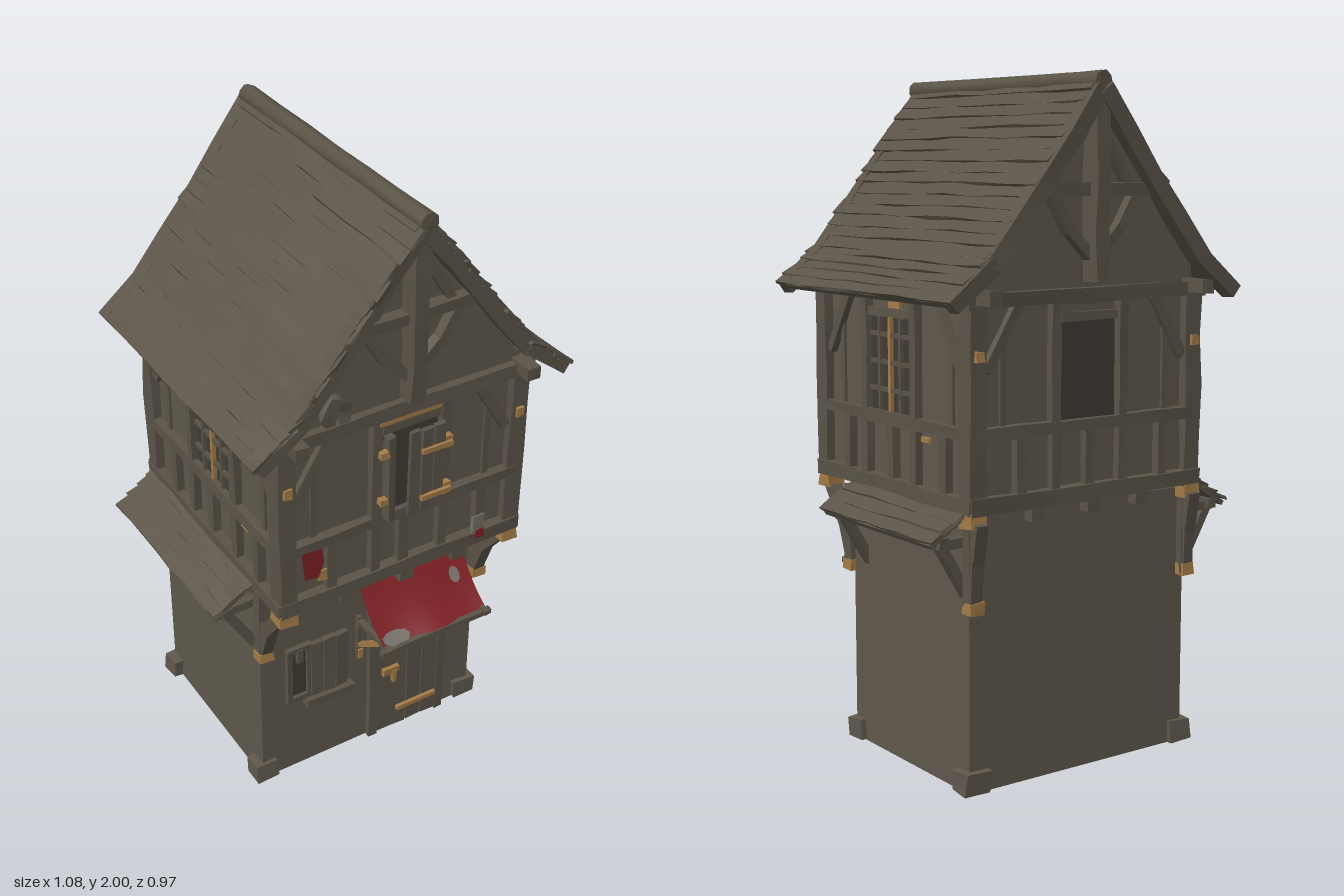
import * as THREE from 'three';

const mat = (name, color, side = THREE.FrontSide) => {
  const m = new THREE.MeshStandardMaterial({ color, side });
  m.name = name;
  return m;
};
const CX = 0.01; // centre line of the house

export function createModel() {
  const house = new THREE.Group();
  house.name = 'timberHouse';
  const plaster = mat('plaster', 0x5f584c, THREE.DoubleSide);
  const wood = mat('weatheredWood', 0x5a5347);
  const dark = mat('darkOpening', 0x3f3b34);
  const tan = mat('paleWood', 0xa57c48);
  const red = mat('redCloth', 0x7d1f24, THREE.DoubleSide);
  const grey = mat('greyPatch', 0x77726b, THREE.DoubleSide);

  let seed = 7;
  const rnd = (a) => {
    seed = (seed * 16807) % 2147483647;
    return (seed / 2147483647 - 0.5) * 2 * a;
  };
  // Roughen a geometry; corners sharing a position move together
  const hewn = (geo, amount) => {
    const p = geo.attributes.position, moved = new Map();
    for (let i = 0; i < p.count; i++) {
      const key = [p.getX(i), p.getY(i), p.getZ(i)].map((v) => v.toFixed(4)).join();
      if (!moved.has(key)) moved.set(key, [rnd(amount), rnd(amount), rnd(amount)]);
      const d = moved.get(key);
      p.setXYZ(i, p.getX(i) + d[0], p.getY(i) + d[1], p.getZ(i) + d[2]);
    }
    geo.computeVertexNormals();
    return geo;
  };
  const add = (parent, name, geo, m, x = 0, y = 0, z = 0) => {
    const mesh = new THREE.Mesh(geo, m);
    mesh.name = name;
    mesh.position.set(x, y, z);
    parent.add(mesh);
    return mesh;
  };
  const box = (parent, name, m, w, h, d, x, y, z, rough = 0) =>
    add(parent, name, hewn(new THREE.BoxGeometry(w, h, d), rough), m, x, y, z);
  // Rough squared timber between two points
  const beam = (parent, name, a, b, w = 0.04, d = w, m = wood) => {
    const A = new THREE.Vector3(...a), B = new THREE.Vector3(...b), dir = B.clone().sub(A);
    const len = dir.length(), mid = A.add(B).multiplyScalar(0.5);
    const geo = hewn(new THREE.BoxGeometry(w, len, d, 1, Math.max(1, Math.round(len / 0.15)), 1), w * 0.07);
    const mesh = add(parent, name, geo, m, mid.x, mid.y, mid.z);
    mesh.quaternion.setFromUnitVectors(new THREE.Vector3(0, 1, 0), dir.normalize());
    return mesh;
  };
  const group = (name, parent = house) => {
    const g = new THREE.Group();
    g.name = name;
    parent.add(g);
    return g;
  };

  // Lower storey: hollow walls, open at the bottom
  const ring = new THREE.Shape([[-0.38, -0.24], [0.4, -0.24], [0.4, 0.37], [-0.38, 0.37]].map((p) => new THREE.Vector2(...p)));
  ring.holes.push(new THREE.Path([[-0.35, -0.21], [-0.35, 0.34], [0.37, 0.34], [0.37, -0.21]].map((p) => new THREE.Vector2(...p))));
  const walls = add(house, 'lowerWalls', new THREE.ExtrudeGeometry(ring, { depth: 0.79, bevelEnabled: false }), plaster);
  walls.rotation.x = -Math.PI / 2;
  for (const x of [-0.37, 0.38]) {
    for (const z of [0.22, -0.35]) box(house, 'cornerStone', plaster, 0.08, 0.06, 0.07, x, 0.034, z, 0.006);
  }

  // Upper storey and attic
  box(house, 'upperWalls', plaster, 0.77, 0.6, 0.77, CX, 1.1, 0);
  const gable = new THREE.Shape([[-0.39, 1.38], [0.39, 1.38], [0.385, 1.46], [0, 1.94], [-0.385, 1.46]].map((p) => new THREE.Vector2(...p)));
  add(house, 'attic', new THREE.ExtrudeGeometry(gable, { depth: 0.79, bevelEnabled: false }), plaster, CX, 0, -0.395);

  // Timber frame, one panel per side; local +z points outwards
  const W = 0.385, F = 0.395;
  const facade = (name, turn, u0, u1) => {
    const g = group(name);
    g.position.x = CX;
    g.rotation.y = turn;
    beam(g, 'sillBeam', [-0.41, 0.825, F], [0.41, 0.825, F], 0.045);
    beam(g, 'midRail', [-W, 1.02, F], [W, 1.02, F], 0.035);
    beam(g, 'topBeam', [-0.42, 1.385, F + 0.005], [0.42, 1.385, F + 0.005], 0.042);
    for (const u of [u0 - 0.02, u1 + 0.02]) beam(g, 'windowPost', [u, 0.84, F], [u, 1.37, F], 0.03);
    for (const u of [-0.24, -0.0, 0.27]) beam(g, 'stud', [u, 0.84, F], [u, 1.01, F], 0.032);
    for (const s of [-1, 1]) {
      beam(g, 'cornerBrace', [s * 0.35, 1.19, F - 0.005], [s * 0.24, 1.37, F - 0.005], 0.03);
      beam(g, 'sideStud', [s * 0.29, 1.03, F - 0.012], [s * 0.29, 1.28, F - 0.012], 0.02);
    }
    for (const u of [-0.18, 0.02, 0.2]) box(g, 'joistEnd', wood, 0.045, 0.045, 0.16, u, 0.785, 0.325, 0.003);
    beam(g, 'lintel', [u0, 1.325, F], [u1, 1.325, F], 0.025);
    box(g, 'windowPane', dark, u1 - u0, 0.28, 0.008, (u0 + u1) / 2, 1.175, 0.388);
    return g;
  };
  const front = facade('frontFrame', 0, -0.075, 0.115);
  const right = facade('rightFrame', Math.PI / 2, -0.12, 0.1);
  const left = facade('leftFrame', -Math.PI / 2, -0.1, 0.12);
  facade('backFrame', Math.PI, -0.1, 0.1);

  // Window lattices on the sides
  for (const [g, c] of [[right, -0.01], [left, 0.01]]) {
    for (const k of [-1, 0, 1]) box(g, 'windowBar', k ? wood : tan, 0.012, 0.27, 0.014, c + k * 0.055, 1.175, 0.397);
    for (const y of [1.1, 1.18, 1.26]) box(g, 'windowCrossbar', wood, 0.21, 0.012, 0.014, c, y, 0.396);
    box(g, 'paleLintelPeg', tan, 0.06, 0.018, 0.01, c + 0.05, 1.35, 0.413);
    box(g, 'paleRailPeg', tan, 0.04, 0.015, 0.01, c + 0.18, 0.98, 0.395);
  }

  // Front upper window with an open shutter
  for (let i = 0; i < 3; i++) box(front, 'shutterPlank', wood, 0.035, 0.27 + rnd(0.015), 0.014, 0.01 + i * 0.04, 1.17, 0.435, 0.002);
  box(front, 'shutterEdge', wood, 0.025, 0.28, 0.03, -0.06, 1.17, 0.42, 0.003);
  for (const y of [1.24, 1.08]) {
    box(front, 'shutterHinge', tan, 0.1, 0.016, 0.012, 0.08, y, 0.446, 0.001);
    box(front, 'hingeBlock', tan, 0.025, 0.04, 0.02, 0.12, y, 0.432, 0.002);
    box(front, 'hingePeg', tan, 0.025, 0.02, 0.02, -0.085, y + 0.02, 0.425, 0.002);
  }
  box(front, 'paleLintel', tan, 0.2, 0.014, 0.012, 0.01, 1.353, 0.41, 0.001);

  // Corner posts, and brackets carrying the overhang
  for (const x of [-W + CX, W + CX]) {
    for (const s of [1, -1]) {
      const z = s * W, foot = s > 0 ? 0.255 : -0.38, top = s > 0 ? 0.385 : -0.41;
      beam(house, 'cornerPost', [x, 0.8, z], [x, 1.4, z], 0.055);
      box(house, 'postPeg', tan, 0.026, 0.03, 0.012, x, 1.235, s * 0.415, 0.002);
      box(house, 'paleBeamEnd', tan, 0.055, 0.042, 0.06, x, 0.785, s * 0.385, 0.004);
      beam(house, 'wallPost', [x, 0.53, foot], [x, 0.79, foot], 0.042, 0.035);
      beam(house, 'bracketLower', [x, 0.55, foot], [x, 0.68, foot + (top - foot) * 0.35], 0.038);
      beam(house, 'bracketUpper', [x, 0.665, foot + (top - foot) * 0.3], [x, 0.78, top], 0.038);
      box(house, 'paleBracketFoot', tan, 0.044, 0.035, 0.044, x, 0.54, foot + s * 0.002, 0.003);
    }
    beam(house, 'eavesBeam', [x < 0 ? -0.36 : 0.39, 1.395, -0.485], [x < 0 ? -0.36 : 0.39, 1.395, 0.475], 0.04);
  }

  // Gable trusses on both ends
  for (const turn of [0, Math.PI]) {
    const g = group('gableTruss');
    g.position.x = CX;
    g.rotation.y = turn;
    beam(g, 'kingPost', [0, 1.42, 0.43], [0, 1.97, 0.43], 0.045, 0.06);
    beam(g, 'collarBeam', [-0.2, 1.675, 0.415], [0.2, 1.675, 0.415], 0.035);
    for (const s of [-1, 1]) {
      beam(g, 'bargeBoard', [0, 1.95, 0.445], [s * 0.37, 1.475, 0.445], 0.05, 0.045);
      beam(g, 'bargeFoot', [s * 0.36, 1.485, 0.445], [s * 0.5, 1.375, 0.445], 0.045);
      beam(g, 'archLower', [s * 0.01, 1.49, 0.415], [s * 0.09, 1.57, 0.415], 0.03);
      beam(g, 'archUpper', [s * 0.085, 1.56, 0.415], [s * 0.15, 1.67, 0.415], 0.03);
      beam(g, 'upperStrut', [s * 0.02, 1.86, 0.41], [s * 0.13, 1.68, 0.41], 0.025);
    }
  }
  const lump = add(house, 'plasterPatch', hewn(new THREE.CylinderGeometry(0.05, 0.05, 0.03, 9), 0.008), plaster, -0.22, 1.44, 0.4);
  lump.rotation.x = Math.PI / 2;

  // Main roof: two slopes of overlapping long planks over a flared profile
  const profile = [[0, 1.975], [0.37, 1.495], [0.505, 1.385]].map((p) => new THREE.Vector2(...p));
  const rowsOnSlope = (g, a, b, rows, len, zc, width) => {
    const slope = Math.atan2(b.y - a.y, b.x - a.x), span = a.distanceTo(b);
    const under = box(g, 'roofBoarding', wood, span, 0.014, len - 0.02, (a.x + b.x) / 2, (a.y + b.y) / 2 - 0.006, zc);
    under.rotation.z = slope;
    for (let i = 0; i < rows; i++) {
      const p = a.clone().lerp(b, (i + 0.5) / rows);
      const geo = hewn(new THREE.BoxGeometry(width, 0.011, len + rnd(0.015), 1, 1, 7), 0.004);
      const plank = add(g, 'roofPlank', geo, wood, p.x, p.y + 0.007, zc + rnd(0.005));
      plank.rotation.set(0, rnd(0.008), slope + 0.12 + rnd(0.04));
    }
  };
  for (const s of [1, -1]) {
    const g = group(s > 0 ? 'rightRoofSlope' : 'leftRoofSlope');
    g.position.x = CX;
    g.rotation.y = s > 0 ? 0 : Math.PI;
    rowsOnSlope(g, profile[0], profile[1], 15, 0.93, 0.01 * s, 0.062);
    rowsOnSlope(g, profile[1], profile[2], 5, 0.93, 0.01 * s, 0.055);
  }
  const ridge = add(house, 'ridgeLog', hewn(new THREE.CylinderGeometry(0.028, 0.028, 0.94, 9, 6), 0.002), wood, CX, 1.97, 0.01);
  ridge.rotation.x = Math.PI / 2;

  // Small lean-to roofs on both sides
  for (const s of [1, -1]) {
    const g = group(s > 0 ? 'rightLeanTo' : 'leftLeanTo');
    g.rotation.y = s > 0 ? 0 : Math.PI;
    const z0 = s > 0 ? -0.37 : -0.24, z1 = s > 0 ? 0.2 : 0.39;
    rowsOnSlope(g, new THREE.Vector2(0.38, 0.825), new THREE.Vector2(0.525, 0.73), 4, z1 - z0 + 0.02, (z0 + z1) / 2, 0.055);
    beam(g, 'leanToPole', [0.48, 0.728, z0], [0.48, 0.728, z1], 0.03);
    for (const z of [z0 + 0.03, z1 - 0.03]) {
      beam(g, 'leanToArm', [0.37, 0.72, z], [0.5, 0.72, z], 0.028);
      beam(g, 'leanToStrut', [0.385, 0.56, z], [0.48, 0.72, z], 0.028);
    }
  }

  // Plank door with pale hinges and handle
  const door = group('door');
  for (let i = 0; i < 4; i++) box(door, 'doorPlank', wood, 0.056, 0.49, 0.02, 0.058 + i * 0.058, 0.25, 0.246, 0.002);
  for (const x of [0.018, 0.275]) beam(door, 'doorPost', [x, 0, 0.245], [x, 0.52, 0.245], 0.03);
  beam(door, 'doorLintel', [0, 0.515, 0.25], [0.29, 0.515, 0.25], 0.03);
  for (const [y, x] of [[0.43, 0.18], [0.08, 0.18]]) box(door, 'doorHinge', tan, 0.15, 0.016, 0.012, x, y, 0.262, 0.001);
  box(door, 'doorLatch', tan, 0.06, 0.025, 0.014, 0.08, 0.26, 0.262, 0.002);
  box(door, 'doorHandle', tan, 0.015, 0.05, 0.016, 0.09, 0.235, 0.264, 0.002);

  // Small lower window with its open shutter and sill
  const low = group('lowerWindow');
  box(low, 'windowHole', dark, 0.08, 0.2, 0.006, -0.25, 0.39, 0.242);
  for (const x of [-0.285, -0.215]) beam(low, 'windowJamb', [x, 0.28, 0.247], [x, 0.5, 0.247], 0.018);
  for (const y of [0.295, 0.495]) beam(low, 'windowRail', [-0.29, y, 0.248], [-0.21, y, 0.248], 0.018);
  box(low, 'windowLatch', wood, 0.02, 0.05, 0.02, -0.25, 0.47, 0.25);
  for (let i = 0; i < 3; i++) box(low, 'lowerShutterPlank', wood, 0.042, 0.21, 0.018, -0.19 + i * 0.044, 0.395, 0.253, 0.003);
  beam(low, 'windowSill', [-0.23, 0.27, 0.255], [-0.06, 0.26, 0.255], 0.032);

  // Sagging cloth awning over the door; patches follow its surface
  const awning = group('awning');
  const drape = (geo, lift) => {
    const p = geo.attributes.position;
    for (let i = 0; i < p.count; i++) {
      const u = p.getX(i), v = p.getY(i);
      p.setXYZ(i, -0.045 + 0.375 * u,
        0.68 - 0.165 * v - 0.025 * Math.sin(Math.PI * v) - 0.008 * v * Math.sin(u * 9) + lift,
        0.25 + 0.17 * v + lift);
    }
    geo.computeVertexNormals();
    return geo;
  };
  add(awning, 'awningCloth', drape(new THREE.PlaneGeometry(1, 1, 12, 6).translate(0.5, 0.5, 0), 0), red);
  for (const [u, v, ru, rv] of [[0.14, 0.82, 0.13, 0.13], [0.85, 0.33, 0.05, 0.1]]) {
    add(awning, 'awningPatch', drape(new THREE.CircleGeometry(1, 9).scale(ru, rv, 1).translate(u, v, 0), 0.005), grey);
  }
  beam(awning, 'awningPole', [-0.06, 0.512, 0.415], [0.34, 0.512, 0.415], 0.018);
  for (const x of [-0.035, 0.32]) {
    beam(awning, 'awningArm', [x, 0.515, 0.24], [x, 0.515, 0.43], 0.016);
    beam(awning, 'awningStrut', [x, 0.41, 0.245], [x, 0.51, 0.37], 0.016, 0.016, tan);
    beam(awning, 'awningWallStick', [x, 0.37, 0.25], [x, 0.53, 0.25], 0.016);
    box(awning, 'paleStickEnd', tan, 0.016, 0.035, 0.016, x, 0.385, 0.256);
  }

  // Hanging cloths on the upper front
  const cloth = new THREE.Shape([[-0.335, 1.01], [-0.325, 0.915], [-0.28, 0.91], [-0.262, 0.96], [-0.27, 1.01]].map((p) => new THREE.Vector2(...p)));
  add(house, 'redRag', new THREE.ShapeGeometry(cloth), red, 0, 0, 0.418);
  box(house, 'paleScrap', tan, 0.045, 0.04, 0.008, -0.25, 0.9, 0.405, 0.003);
  box(house, 'greyRag', grey, 0.04, 0.06, 0.008, 0.265, 0.885, 0.422, 0.003);
  box(house, 'redRagTip', red, 0.03, 0.03, 0.008, 0.27, 0.85, 0.424, 0.003);
  return house;
}
